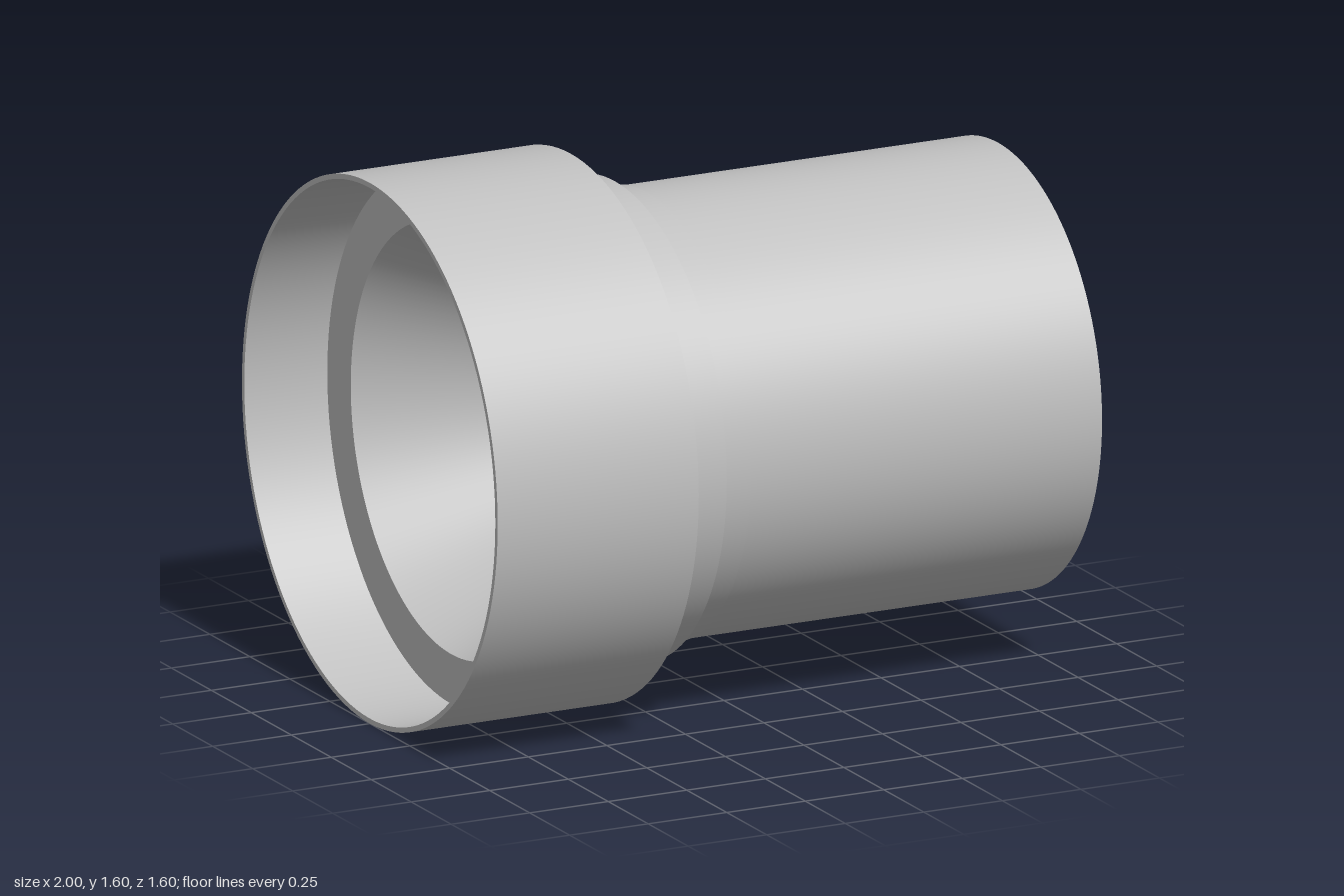
import * as THREE from 'three';
import { mergeGeometries } from 'three/addons/utils/BufferGeometryUtils.js';

const SEGMENTS = 128;
const AXIS_HEIGHT = 0.8;

// Turns each straight run of an [x, radius] profile separately, so that
// rings stay smooth while the corners between runs stay sharp.
function turned(profile) {
  const runs = [];
  for (let i = 0; i < profile.length - 1; i++) {
    const pts = [profile[i], profile[i + 1]].map(([x, r]) => new THREE.Vector2(r, x));
    runs.push(new THREE.LatheGeometry(pts, SEGMENTS));
  }
  return mergeGeometries(runs).rotateZ(-Math.PI / 2);
}

export function createModel() {
  const model = new THREE.Group();
  model.name = 'pipeAdapter';
  const grey = new THREE.MeshStandardMaterial({ color: 0xc0c0c0 });
  grey.name = 'lightGrey';

  // The profiles join end to end into one closed section.
  const parts = {
    // wide collar and its shoulder
    collar: [[-1, 0.8], [-0.36, 0.8], [-0.36, 0.7]],
    // two small steps down to the spigot
    steps: [[-0.36, 0.7], [-0.22, 0.7], [-0.22, 0.655], [-0.12, 0.655], [-0.12, 0.65]],
    // outer sleeve with its end rim
    outerSleeve: [[-0.12, 0.65], [1, 0.65], [1, 0.608]],
    // drafted groove between the two sleeves
    grooveWalls: [[1, 0.608], [-0.2, 0.585], [-0.2, 0.53], [1, 0.507]],
    // inner sleeve rim, bore and flared throat
    innerSleeve: [[1, 0.507], [1, 0.442], [-0.38, 0.445], [-0.74, 0.63]],
    // socket floor, wall and thin mouth rim
    socket: [[-0.74, 0.63], [-0.74, 0.777], [-1, 0.785], [-1, 0.8]],
  };

  for (const [name, profile] of Object.entries(parts)) {
    const mesh = new THREE.Mesh(turned(profile), grey);
    mesh.name = name;
    mesh.position.y = AXIS_HEIGHT;
    model.add(mesh);
  }
  return model;
}
